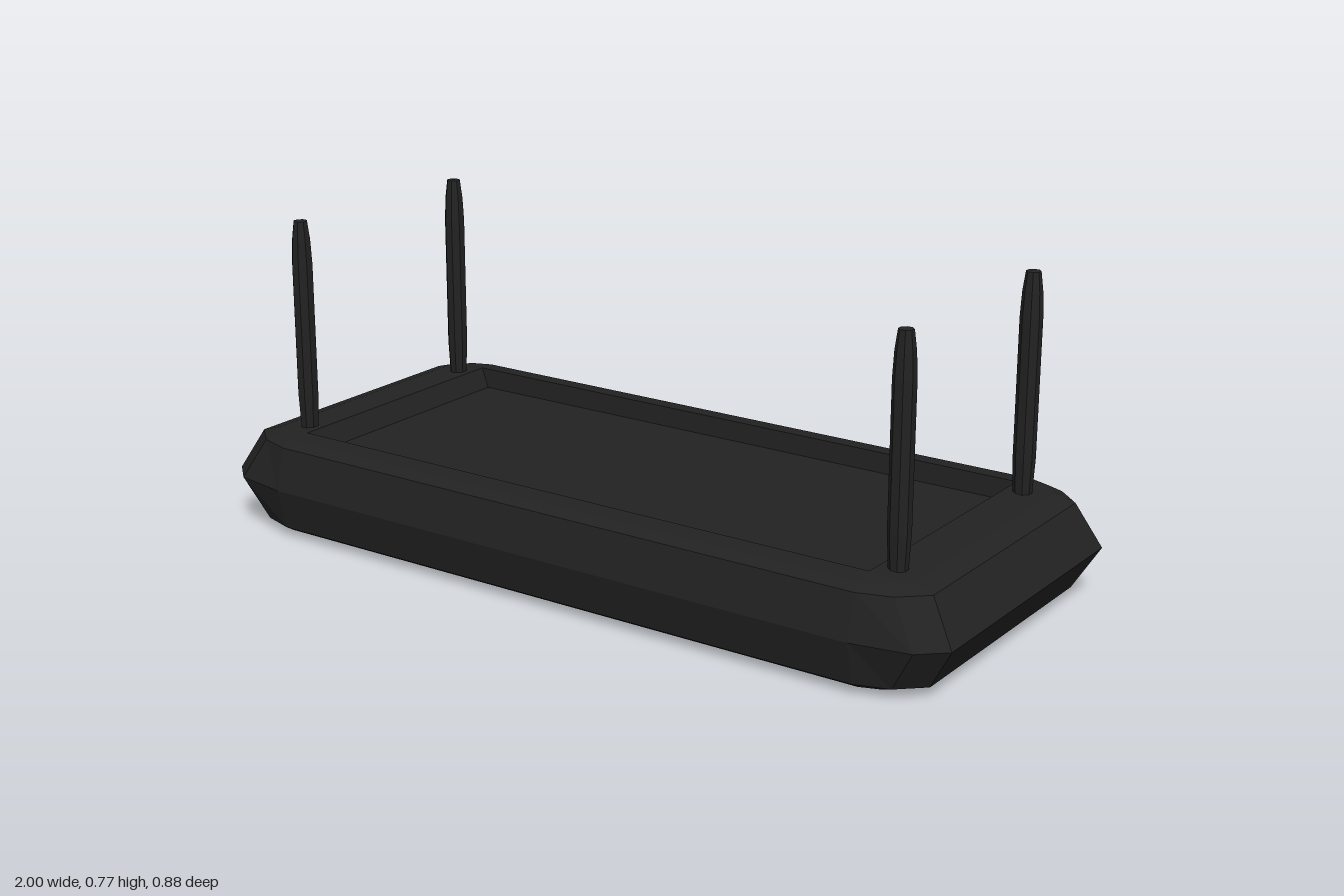
import * as THREE from 'three';

// Rectangle with two-step chamfered corners, running from +x towards +z.
function outline(hx, hz, y, s, yEnd = y) {
  const q = [
    [hx, hz - 0.08 * s, yEnd],
    [hx - 0.06 * s, hz - 0.025 * s, (y + yEnd) / 2],
    [Math.min(0.8, hx), hz, y],
  ];
  const r = [...q].reverse();
  const place = (list, sx, sz) => list.map(([x, z, h]) => [x * sx, h, z * sz]);
  return [...place(q, 1, 1), ...place(r, -1, 1), ...place(q, -1, -1), ...place(r, 1, -1)];
}

// Joins successive outlines with flat faces; the list runs from top to bottom.
function loft(rings) {
  const pos = [];
  const n = rings[0].length;
  for (let k = 0; k < rings.length - 1; k++) {
    for (let i = 0; i < n; i++) {
      const j = (i + 1) % n;
      const a = rings[k][i], b = rings[k][j], c = rings[k + 1][i], d = rings[k + 1][j];
      pos.push(...a, ...b, ...c, ...b, ...d, ...c);
    }
  }
  const g = new THREE.BufferGeometry();
  g.setAttribute('position', new THREE.Float32BufferAttribute(pos, 3));
  g.computeVertexNormals();
  return g;
}

export function createModel() {
  const model = new THREE.Group();
  model.name = 'trayWithPosts';
  const black = new THREE.MeshStandardMaterial({ color: 0x222222, flatShading: true, side: THREE.DoubleSide });
  black.name = 'matte black';
  const beige = new THREE.MeshStandardMaterial({ color: 0xcbbfab, flatShading: true });
  beige.name = 'beige';

  const add = (name, geometry, material, x = 0, y = 0, z = 0) => {
    const mesh = new THREE.Mesh(geometry, material);
    mesh.name = name;
    mesh.position.set(x, y, z);
    model.add(mesh);
    return mesh;
  };

  // Faceted rim, from the inner top wall round to the inner bottom edge
  add('rim', loft([
    outline(0.765, 0.335, 0.19, 0),
    outline(0.79, 0.338, 0.25, 0),
    outline(0.89, 0.39, 0.245, 0.7),
    outline(0.94, 0.415, 0.23, 1),
    outline(1, 0.44, 0.127, 1),
    outline(0.94, 0.415, 0.025, 1),
    outline(0.89, 0.39, 0.01, 0.7),
    outline(0.82, 0.35, 0.012, 0),
    outline(0.765, 0.335, 0.025, 0, 0.065),
  ]), black);

  // Recessed top panel
  add('topPanel', new THREE.BoxGeometry(1.54, 0.02, 0.68), black, 0, 0.19, 0);

  // Pale base block with a shallow bevelled underside
  add('base', loft([
    outline(0.76, 0.333, 0.17, 0),
    outline(0.76, 0.333, 0.007, 0),
    outline(0.7, 0.295, 0, 0),
    outline(0, 0, 0, 0),
  ]), beige);

  // Corner posts with tapered ends
  const profile = [
    [0, 0.22], [0.021, 0.22], [0.022, 0.25], [0.026, 0.33], [0.026, 0.66],
    [0.023, 0.72], [0.017, 0.766], [0, 0.768],
  ].map(([r, y]) => new THREE.Vector2(r, y));
  const post = new THREE.LatheGeometry(profile, 8, Math.PI / 8);
  for (const x of [-0.83, 0.83]) {
    for (const z of [-0.287, 0.287]) {
      add(`${z > 0 ? 'front' : 'back'}${x > 0 ? 'Left' : 'Right'}Post`, post, black, x, 0, z);
    }
  }
  return model;
}
